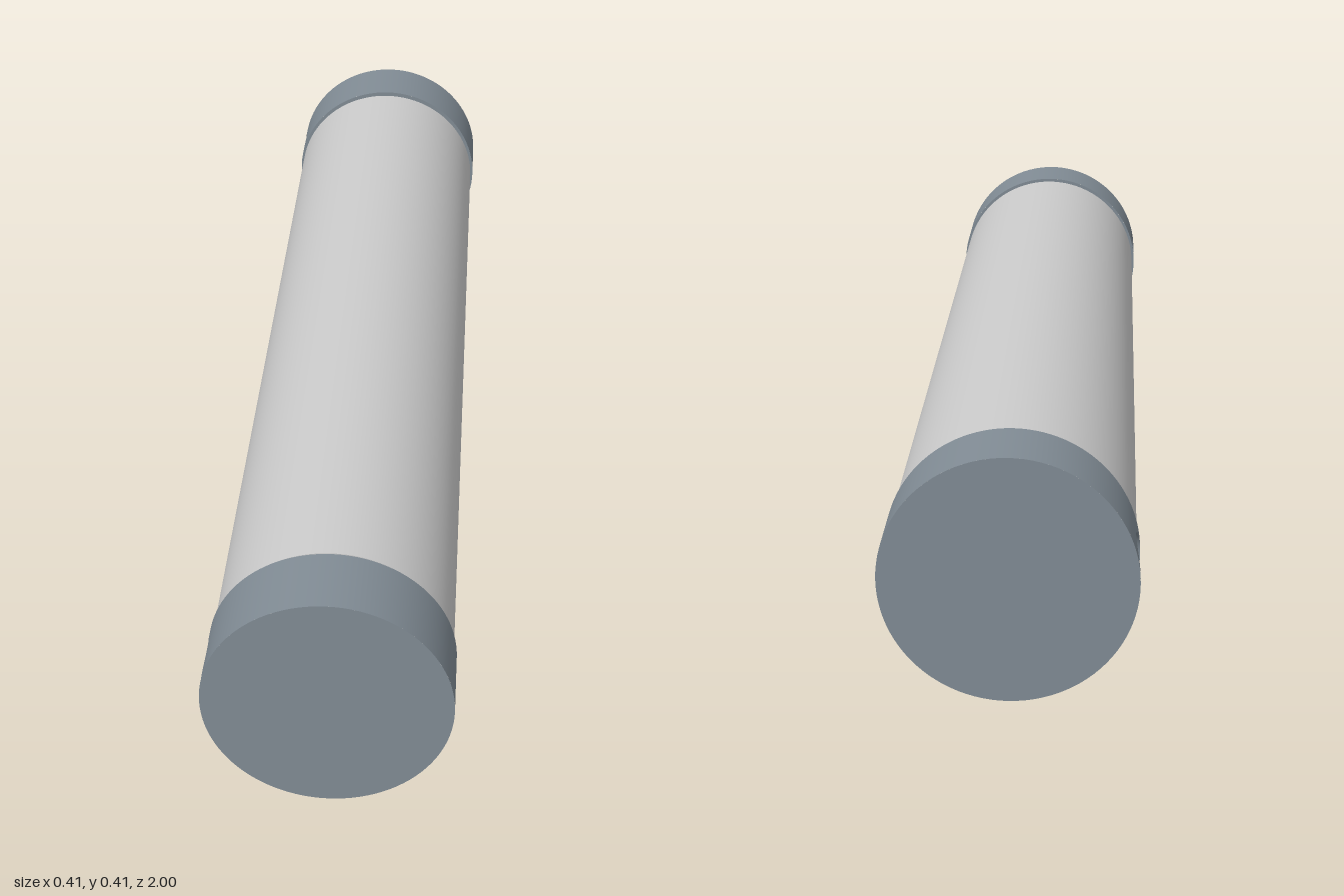
import * as THREE from 'three';
import { ParametricGeometry } from 'three/addons/geometries/ParametricGeometry.js';

const R = 0.205;          // cap radius
const INNER = 0.87;       // inner face of the cap
const HALF = 0.065;       // half the cap length
const PORT = { z: 0.935, r: 0.055, floor: 0.19, bore: 0.019, depth: 0.03 };

const steel = new THREE.MeshStandardMaterial({ color: 0xcccccc });
const slate = new THREE.MeshStandardMaterial({ color: 0x818c95 });
const boreWall = new THREE.MeshStandardMaterial({ color: 0x818c95, side: THREE.BackSide });

function add(group, name, geometry, material) {
  const mesh = new THREE.Mesh(geometry, material);
  mesh.name = name;
  group.add(mesh);
  return mesh;
}

// Point on the cap's round side, at polar position (rho, t) about the port
function onCap(rho, t, target) {
  const y = -rho * Math.sin(t);
  return target.set(-Math.sqrt(R * R - y * y), y, PORT.z + rho * Math.cos(t));
}

function createCap(name) {
  const cap = new THREE.Group();
  cap.name = name;

  // Round side, left open where the port patch sits
  const gap = Math.asin(HALF / R);
  const side = new THREE.CylinderGeometry(R, R, 2 * HALF, 96, 1, true, Math.PI * 1.5 + gap, Math.PI * 2 - 2 * gap);
  side.rotateX(Math.PI / 2).translate(0, 0, PORT.z);
  add(cap, 'capSide', side, slate);

  // Curved square patch with a round opening
  const patch = new ParametricGeometry((u, v, target) => {
    const t = u * Math.PI * 2;
    const edge = HALF / Math.max(Math.abs(Math.cos(t)), Math.abs(Math.sin(t)));
    onCap(THREE.MathUtils.lerp(PORT.r, edge, v), t, target);
  }, 64, 4);
  add(cap, 'portSurround', patch, slate);

  // Flat and inner faces
  add(cap, 'endFace', new THREE.CircleGeometry(R, 96).translate(0, 0, 1), slate);
  add(cap, 'innerFace', new THREE.RingGeometry(0.18, R, 96).rotateY(Math.PI).translate(0, 0, INNER), slate);

  // Narrow neck between cap and tube
  const neck = new THREE.CylinderGeometry(0.195, 0.195, 0.03, 96, 1, true);
  add(cap, 'neck', neck.rotateX(Math.PI / 2).translate(0, 0, INNER - 0.01), slate);

  // Recessed port seat with a bored hole
  const wall = new ParametricGeometry((u, v, target) => {
    onCap(PORT.r, u * Math.PI * 2, target);
    target.x = THREE.MathUtils.lerp(-PORT.floor, target.x, v);
  }, 64, 1);
  add(cap, 'portWall', wall, slate);

  const seat = new THREE.RingGeometry(PORT.bore, PORT.r, 48);
  add(cap, 'portSeat', seat.rotateY(-Math.PI / 2).translate(-PORT.floor, 0, PORT.z), slate);

  const bore = new THREE.CylinderGeometry(PORT.bore, PORT.bore, PORT.depth, 32, 1, true);
  bore.rotateZ(Math.PI / 2).translate(-PORT.floor + PORT.depth / 2, 0, PORT.z);
  add(cap, 'portBore', bore, boreWall);

  const bottom = new THREE.CircleGeometry(PORT.bore, 32);
  bottom.rotateY(-Math.PI / 2).translate(-PORT.floor + PORT.depth, 0, PORT.z);
  add(cap, 'portBottom', bottom, steel);
  return cap;
}

export function createModel() {
  const model = new THREE.Group();
  model.name = 'hydraulicCylinder';

  // Main tube
  const tube = new THREE.CylinderGeometry(0.2, 0.2, 1.724, 96);
  add(model, 'tube', tube.rotateX(Math.PI / 2), steel);

  // Caps at both ends, ports on the same side
  const front = createCap('frontCap');
  const back = createCap('backCap');
  back.rotation.x = Math.PI;
  model.add(front, back);

  for (const part of model.children) part.position.y = R;
  return model;
}
